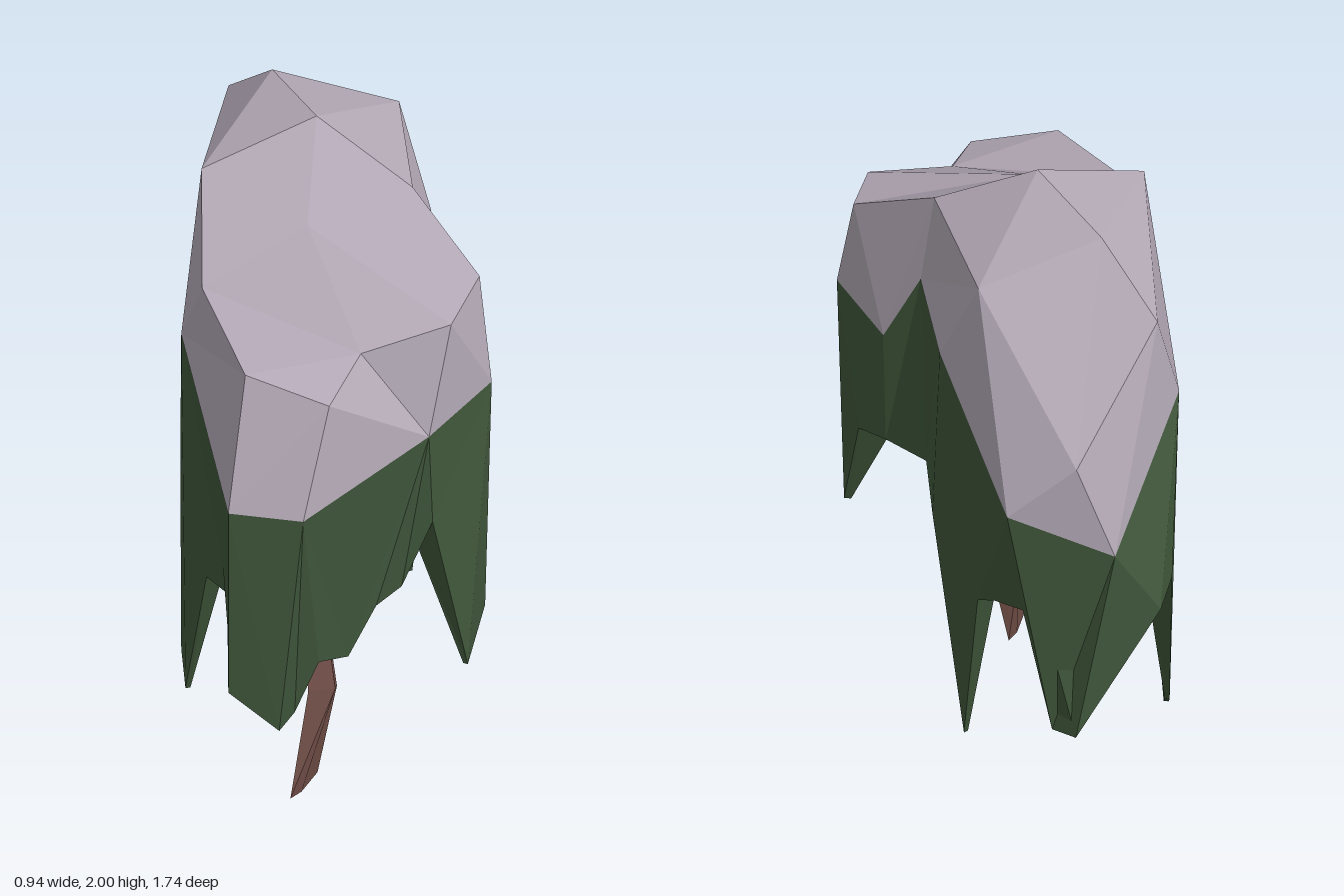
import * as THREE from 'three';

const snow = new THREE.MeshStandardMaterial({ name: 'paleCrown', color: 0xb3a9b6, flatShading: true });
const leaf = new THREE.MeshStandardMaterial({ name: 'leafGreen', color: 0x40573b, flatShading: true, side: THREE.DoubleSide });
const bark = new THREE.MeshStandardMaterial({ name: 'barkBrown', color: 0x714e47, flatShading: true });

// Collects triangles, skipping degenerate ones
function facets() {
  const pos = [];
  const tri = (a, b, c) => {
    if (a !== b && b !== c && a !== c) pos.push(...a, ...b, ...c);
  };
  return {
    quad(a, b, c, d) { tri(a, b, c); tri(a, c, d); },
    fan(centre, list) {
      for (let i = 0; i + 1 < list.length; i++) tri(centre, list[i], list[i + 1]);
    },
    mesh(name, material) {
      const g = new THREE.BufferGeometry();
      g.setAttribute('position', new THREE.Float32BufferAttribute(pos, 3));
      g.computeVertexNormals();
      const m = new THREE.Mesh(g, material);
      m.name = name;
      return m;
    },
  };
}

// Rim where the pale crown meets the hanging leaves, counterclockwise from the front
const rim = [
  [-0.27, 1.20, 0.86], [-0.05, 1.18, 0.86], [0.30, 1.30, 0.56], [0.47, 1.36, 0.34],
  [0.36, 1.30, 0.13], [0.26, 1.55, 0.05], [0.25, 1.54, -0.31], [0.11, 1.26, -0.77],
  [-0.20, 1.14, -0.84], [-0.43, 1.49, -0.52], [-0.45, 1.40, 0.20],
];

function crown() {
  const f = facets();
  // Shoulder points above the rim
  const b = [-0.23, 1.58, 0.70], c = [0.02, 1.52, 0.76], d = [0.10, 1.58, 0.56];
  const e = [0.36, 1.64, 0.48], s = [0.43, 1.68, 0.27], g = [0.22, 1.84, 0.05];
  const h = [0.15, 1.84, -0.42], k = [-0.09, 1.44, -0.81], j = [-0.36, 1.78, -0.57];
  const l = [-0.40, 1.88, 0.05], a = [-0.38, 1.65, 0.34];
  // Summit points
  const top = [-0.07, 2.0, -0.07], back = [-0.22, 1.96, -0.38], saddle = [-0.08, 1.79, 0.20];

  // Pairs of shoulder point and rim number, stitched in order
  const columns = [
    [b, 0], [c, 1], [c, 2], [d, 2], [e, 3], [s, 4], [g, 5],
    [h, 6], [h, 7], [k, 7], [k, 8], [j, 9], [l, 10], [a, 10],
  ];
  columns.forEach(([up, r], i) => {
    const [nextUp, nextR] = columns[(i + 1) % columns.length];
    f.quad(rim[r], rim[nextR], nextUp, up);
  });
  f.fan(saddle, [top, l, a, d, e, s, g, top]);
  f.fan(d, [a, b, c]);
  f.fan(top, [g, h, back, l]);
  f.fan(back, [h, k, j, l]);
  return f.mesh('crownTop', snow);
}

// Ragged hem of the leaves: points hanging from each rim point in turn
const hem = [
  [[-0.27, 0.58, 0.86], [-0.12, 0.46, 0.87]],
  [[-0.08, 0.47, 0.78], [-0.01, 0.64, 0.77], [0.07, 0.60, 0.67]],
  [[0.15, 0.76, 0.64], [0.22, 0.78, 0.56], [0.31, 1.0, 0.55]],
  [[0.41, 0.48, 0.50], [0.45, 0.58, 0.33], [0.42, 0.90, 0.23]],
  [[0.35, 0.91, 0.15]],
  [[0.25, 0.93, 0.0]],
  [[0.26, 0.90, -0.22], [0.19, 0.23, -0.40], [0.17, 0.82, -0.56]],
  [[0.13, 0.87, -0.64], [0.06, 0.90, -0.74], [-0.02, 0.50, -0.79]],
  [[-0.08, 0.52, -0.87], [-0.34, 0.91, -0.80]],
  [[-0.39, 0.93, -0.67], [-0.42, 0.28, -0.38], [-0.43, 0.20, -0.28]],
  [[-0.47, 0.81, -0.07], [-0.45, 0.31, 0.20], [-0.43, 0.25, 0.32], [-0.36, 0.72, 0.45], [-0.29, 0.76, 0.60]],
];

// Moves a hem point inward; the leaves thin out towards the low tips
function inset([x, y, z]) {
  const width = THREE.MathUtils.clamp((y - 0.5) * 0.26, 0.015, 0.1);
  const inward = new THREE.Vector2(-0.08 - x, -0.4 * z).setLength(width);
  return [x + inward.x, y, z + inward.y];
}

// Outer wall, hem thickness, inner wall and ceiling of the hanging leaves
function leafSkirt() {
  const f = facets();
  const innerRim = rim.map(([x, , z]) => [x * 0.8 - 0.01, 1.22, z * 0.84]);
  const strands = hem.flatMap((points, i) => points.map((p) => (
    { p, r: rim[i], innerP: inset(p), innerR: innerRim[i] }
  )));
  strands.forEach((cur, i) => {
    const next = strands[(i + 1) % strands.length];
    f.quad(cur.p, next.p, next.r, cur.r);
    f.quad(next.p, cur.p, cur.innerP, next.innerP);
    f.quad(next.innerP, cur.innerP, cur.innerR, next.innerR);
  });
  f.fan([-0.08, 1.26, 0], [...innerRim, innerRim[0]].reverse());
  return f.mesh('hangingLeaves', leaf);
}

// Four-sided tapering limb; each step is [x, y, z, half width, half depth]
function limb(name, steps, footRing) {
  const f = facets();
  const pts = steps.map((s) => new THREE.Vector3(s[0], s[1], s[2]));
  const rings = pts.map((p, i) => {
    const t = pts[Math.min(i + 1, pts.length - 1)].clone().sub(pts[Math.max(i - 1, 0)]).normalize();
    const side = new THREE.Vector3(1, 0, 0).addScaledVector(t, -t.x).normalize();
    const front = side.clone().cross(t);
    return [[-1, 1], [1, 1], [1, -1], [-1, -1]].map(([u, v]) => p.clone()
      .addScaledVector(side, u * steps[i][3])
      .addScaledVector(front, v * steps[i][4]).toArray());
  });
  if (footRing) rings.unshift(footRing);
  for (let i = 0; i + 1 < rings.length; i++) {
    for (let k = 0; k < 4; k++) {
      const q = (k + 1) % 4;
      f.quad(rings[i][k], rings[i][q], rings[i + 1][q], rings[i + 1][k]);
    }
  }
  f.quad(...rings[0].slice().reverse());
  f.quad(...rings[rings.length - 1]);
  return f.mesh(name, bark);
}

export function createModel() {
  const tree = new THREE.Group();
  tree.name = 'weepingTree';
  tree.add(crown(), leafSkirt());
  // Leaning trunk on a narrow slanted foot, with two side branches
  tree.add(
    limb('trunk', [
      [-0.025, 0.29, 0.36, 0.04, 0.042], [-0.06, 0.50, 0.255, 0.035, 0.05],
      [-0.18, 0.70, 0.03, 0.03, 0.035], [-0.20, 0.85, -0.26, 0.028, 0.025],
      [-0.12, 0.99, -0.48, 0.02, 0.02],
    ], [[-0.11, 0, 0.51], [-0.08, 0, 0.47], [-0.04, 0, 0.36], [-0.07, 0, 0.40]]),
    limb('frontBranch', [
      [-0.06, 0.50, 0.275, 0.03, 0.03], [-0.08, 0.65, 0.32, 0.03, 0.03], [-0.10, 1.2, 0.38, 0.02, 0.02],
    ]),
    limb('middleBranch', [
      [-0.18, 0.69, 0.04, 0.025, 0.03], [-0.19, 0.83, 0.01, 0.025, 0.03], [-0.20, 1.2, -0.05, 0.02, 0.025],
    ]),
  );
  return tree;
}
